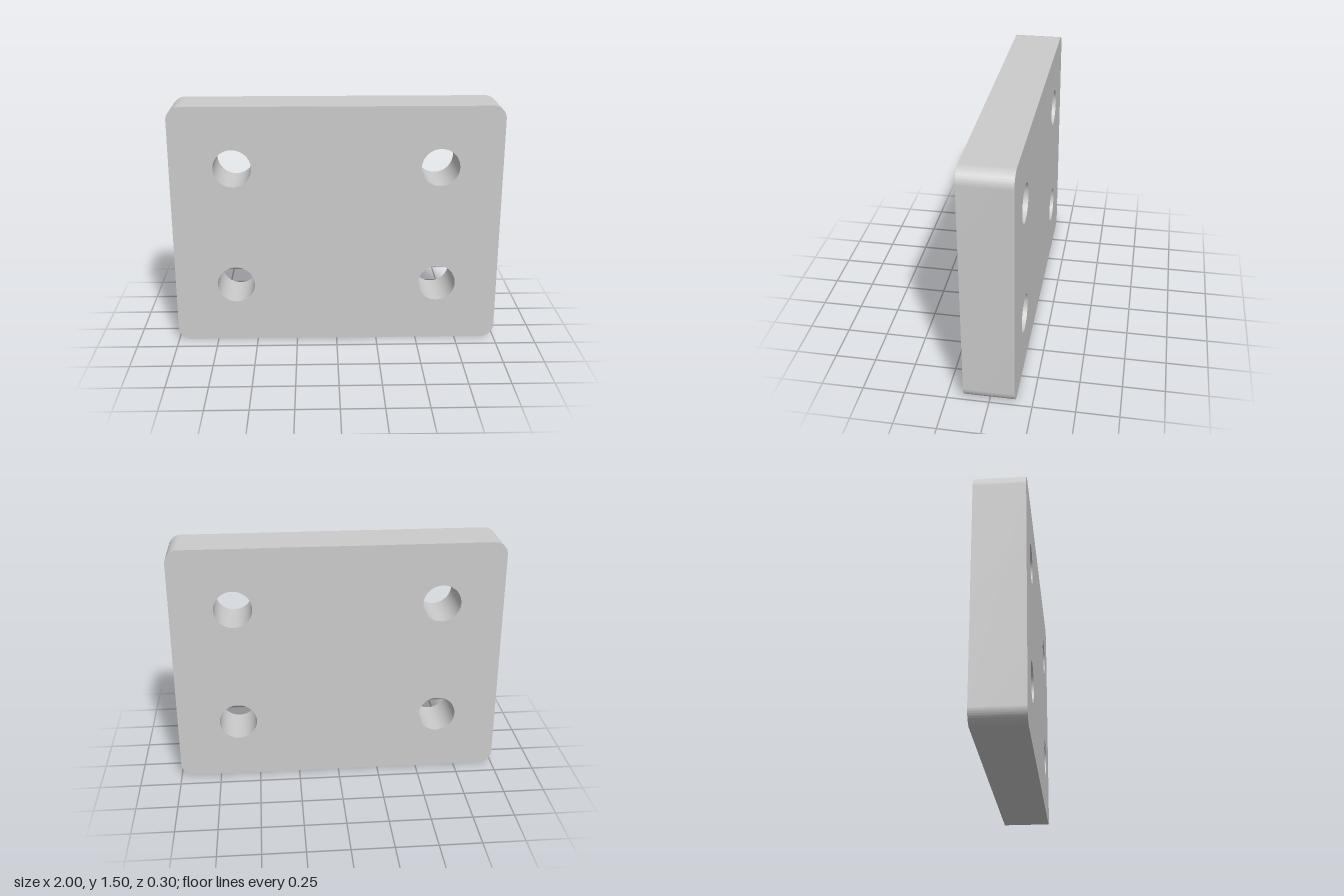
import * as THREE from 'three';
import { toCreasedNormals } from 'three/addons/utils/BufferGeometryUtils.js';

const WIDTH = 2, HEIGHT = 1.5, DEPTH = 0.3;
const CORNER = 0.08, HOLE_RADIUS = 0.115;
const HOLE_X = 0.625, HOLE_Y = 0.375; // hole offsets from the plate centre

export function createModel() {
  const group = new THREE.Group();
  group.name = 'mountingPlate';

  // Rounded rectangular outline, drawn as four corner arcs joined by straight edges
  const outline = new THREE.Shape();
  const cx = WIDTH / 2 - CORNER, cy = HEIGHT / 2 - CORNER;
  [[1, 1], [-1, 1], [-1, -1], [1, -1]].forEach(([sx, sy], i) => {
    const start = i * Math.PI / 2;
    outline.absarc(sx * cx, sy * cy, CORNER, start, start + Math.PI / 2, false);
  });
  outline.closePath();

  // Four through holes
  for (const sx of [-1, 1]) {
    for (const sy of [-1, 1]) {
      const hole = new THREE.Path();
      hole.absarc(sx * HOLE_X, sy * HOLE_Y, HOLE_RADIUS, 0, Math.PI * 2, true);
      outline.holes.push(hole);
    }
  }

  // Plate with sharp rims and smooth corners and bores
  const extruded = new THREE.ExtrudeGeometry(outline, {
    depth: DEPTH, bevelEnabled: false, curveSegments: 24,
  });
  extruded.translate(0, HEIGHT / 2, -DEPTH / 2);
  const plate = new THREE.Mesh(
    toCreasedNormals(extruded, 0.6),
    new THREE.MeshStandardMaterial({ color: 0xcccccc }),
  );
  plate.name = 'plate';
  group.add(plate);
  return group;
}
